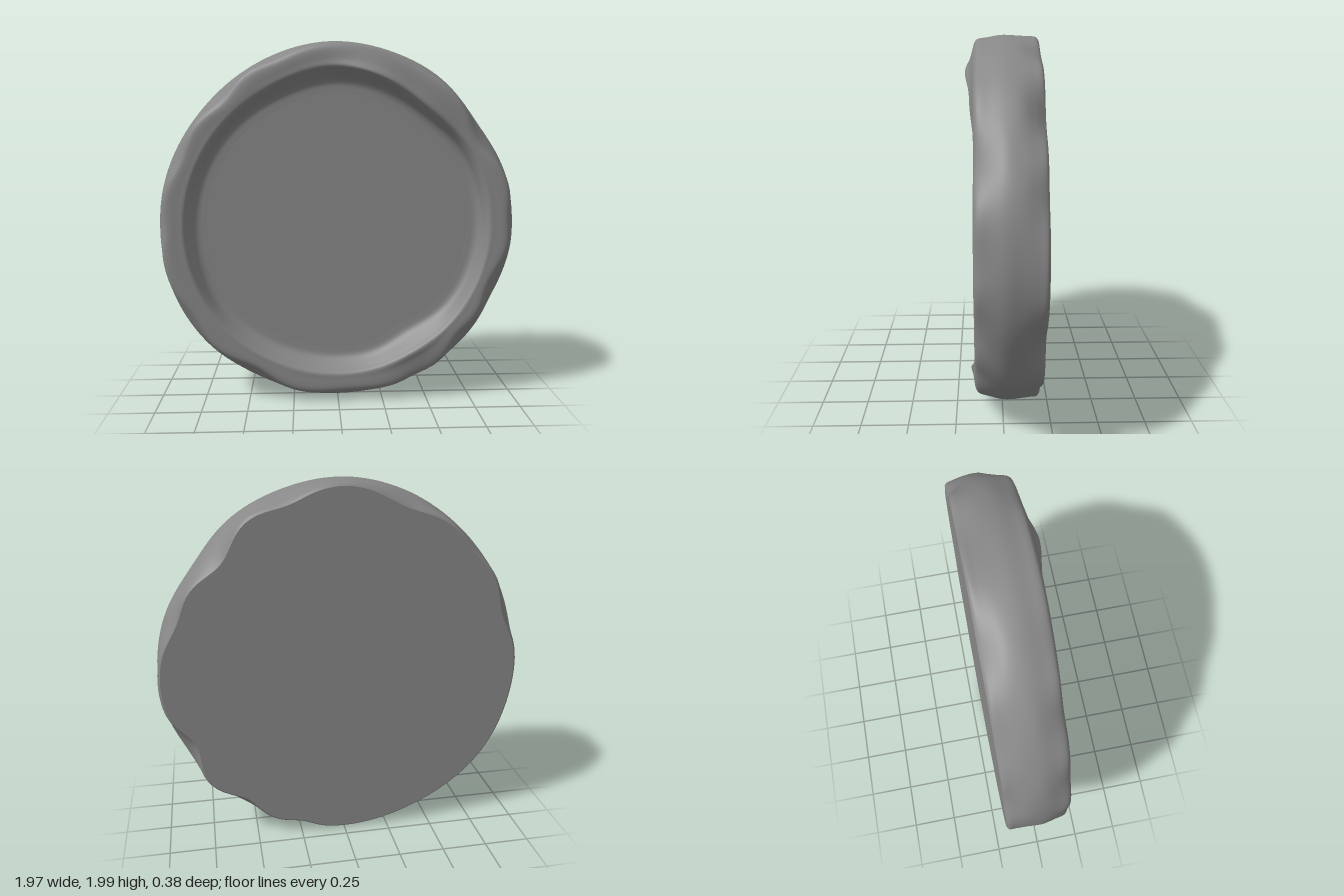
import * as THREE from 'three';

const SEGMENTS = 160;
const SAMPLES = 72;

// Sum of soft bumps [angle, half width, height] around the disc, angles in degrees from +x
function bumps(deg, list) {
  let sum = 0;
  for (const [centre, width, height] of list) {
    const d = ((deg - centre + 540) % 360) - 180;
    sum += height * Math.exp(-((d / width) ** 2));
  }
  return sum;
}

// Uneven hand-pressed wax: each list changes one feature of the section by angle
const OUTER = [[36, 14, -0.028], [60, 12, 0.003], [92, 18, 0.014], [140, 20, -0.012],
  [215, 22, 0.022], [270, 22, 0.008], [318, 12, 0.008], [333, 8, -0.01], [355, 12, 0.006]];
const FRONT_EDGE = [[30, 10, -0.05], [62, 9, -0.02], [110, 8, -0.015], [132, 8, -0.035], [157, 8, -0.03],
  [180, 7, -0.02], [213, 11, -0.045], [240, 11, -0.05], [273, 14, -0.035], [297, 6, -0.015],
  [318, 9, -0.055], [340, 11, -0.055], [2, 8, -0.025]];
const BACK_EDGE = [[45, 10, -0.07], [20, 9, -0.04], [72, 9, -0.035], [110, 12, -0.05],
  [138, 10, -0.03], [163, 10, -0.05], [285, 6, -0.025], [307, 8, -0.05], [336, 9, -0.065]];
const RIM_HEIGHT = [[76, 13, 0.045], [55, 10, 0.015], [300, 12, 0.024], [125, 14, -0.006], [33, 10, -0.006]];
const INNER = [[92, 18, 0.03], [52, 16, -0.025], [300, 12, -0.015], [215, 22, 0.012], [180, 25, 0.005]];
const SLOPE = [[270, 55, 0.018], [305, 14, 0.022], [95, 30, 0.025]];

// Cross-section from the floor edge, over the rim and down the side to the back
function section(deg) {
  const r = 0.982 + bumps(deg, OUTER);
  const front = r - 0.035 + bumps(deg, FRONT_EDGE);
  const back = r - 0.01 + bumps(deg, BACK_EDGE);
  const top = 0.145 + bumps(deg, RIM_HEIGHT);
  const inner = 0.815 + bumps(deg, INNER);
  const foot = inner - 0.035 - bumps(deg, SLOPE);
  const points = [
    [foot - 0.06, 0.05], [foot - 0.015, 0.054], [foot + 0.01, 0.07],
    [inner - 0.008, top - 0.03], [inner + 0.012, top - 0.003],
    [inner * 0.6 + front * 0.4, (top + 0.145) / 2], [front - 0.01, Math.min(top, 0.143)], [front + 0.012, 0.128],
    [(front + r * 2) / 3, 0.07], [r, 0], [r - 0.003, -0.08],
    [(r + back) / 2, -0.14], [back + 0.004, -0.178], [back - 0.008, -0.19],
  ];
  return new THREE.CatmullRomCurve3(points.map(([x, z]) => new THREE.Vector3(x, 0, z)), false, 'centripetal');
}

// Closes a ring of points with a flat disc
function cap(ring, z, facing) {
  const shape = new THREE.Shape(ring.map((p) => new THREE.Vector2(p.x, p.y)));
  const geometry = new THREE.ShapeGeometry(shape);
  if (facing < 0) {
    const index = geometry.index.array;
    for (let i = 0; i < index.length; i += 3) [index[i], index[i + 1]] = [index[i + 1], index[i]];
    geometry.computeVertexNormals();
  }
  return geometry.translate(0, 0, z);
}

export function createModel() {
  const group = new THREE.Group();
  group.name = 'waxSeal';
  const material = new THREE.MeshStandardMaterial({ color: 0x888888 });
  const positions = [], indices = [], floorRing = [], backRing = [];

  for (let i = 0; i < SEGMENTS; i++) {
    const deg = (i / SEGMENTS) * 360;
    const a = THREE.MathUtils.degToRad(deg);
    const curve = section(deg);
    for (let j = 0; j <= SAMPLES; j++) {
      const p = curve.getPoint(j / SAMPLES);
      const point = new THREE.Vector3(p.x * Math.cos(a), p.x * Math.sin(a), p.z);
      positions.push(point.x, point.y, point.z);
      if (j === 0) floorRing.push(point);
      if (j === SAMPLES) backRing.push(point);
      if (j < SAMPLES) {
        const p0 = i * (SAMPLES + 1) + j;
        const p1 = ((i + 1) % SEGMENTS) * (SAMPLES + 1) + j;
        indices.push(p0, p0 + 1, p1, p1, p0 + 1, p1 + 1);
      }
    }
  }

  const rim = new THREE.BufferGeometry();
  rim.setAttribute('position', new THREE.Float32BufferAttribute(positions, 3));
  rim.setIndex(indices);
  rim.computeVertexNormals();

  const add = (name, geometry) => {
    const mesh = new THREE.Mesh(geometry, material);
    mesh.name = name;
    mesh.position.y = 1.002;
    group.add(mesh);
  };
  add('raisedRim', rim);
  add('recessedFloor', cap(floorRing, 0.05, 1));
  add('flatBack', cap(backRing, -0.19, -1));
  return group;
}
